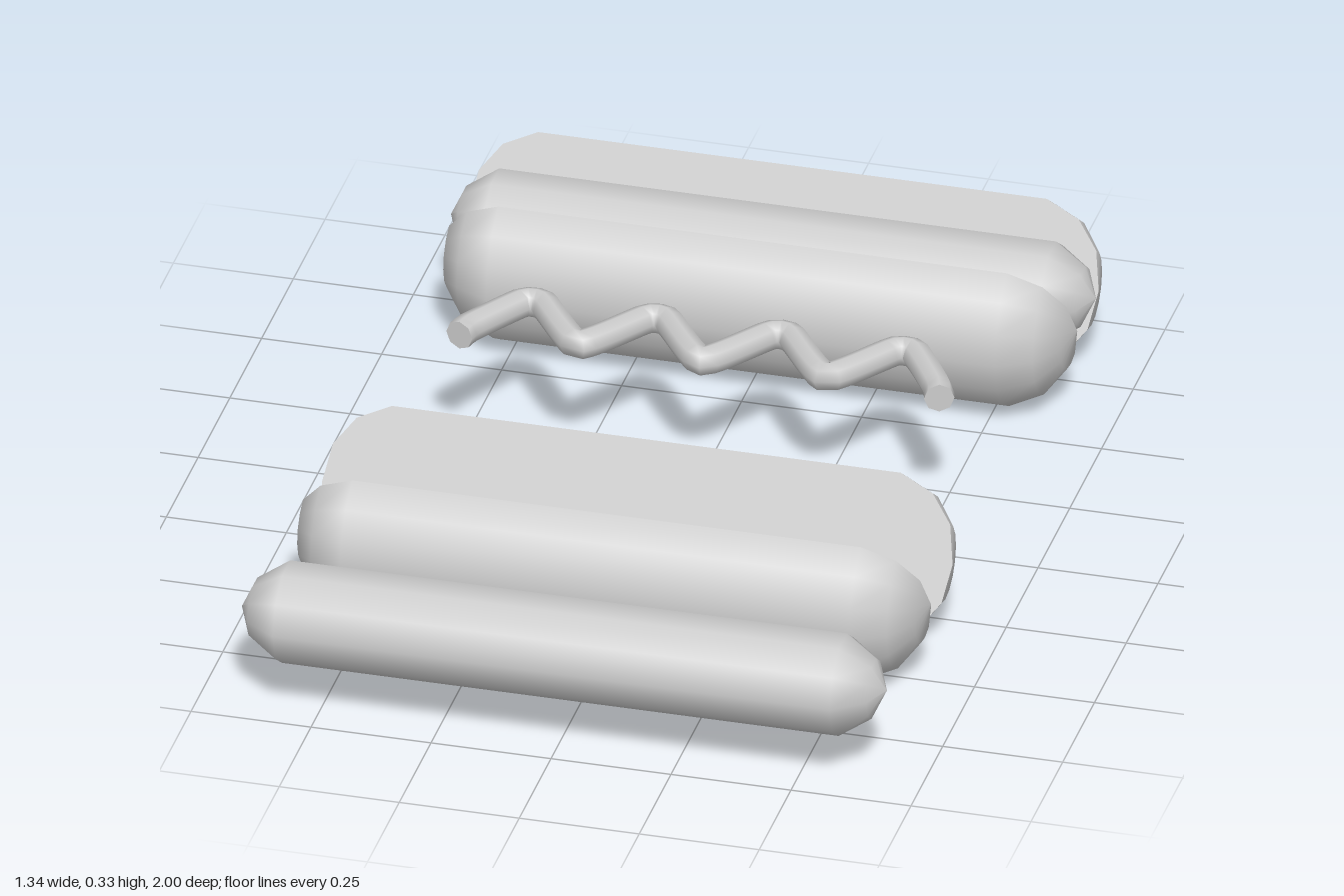
import * as THREE from 'three';

const grey = new THREE.MeshStandardMaterial({ color: 0xcccccc });
const greyDouble = new THREE.MeshStandardMaterial({ color: 0xcccccc, side: THREE.DoubleSide });

function addMesh(parent, name, geometry, material = grey) {
  const mesh = new THREE.Mesh(geometry, material);
  mesh.name = name;
  parent.add(mesh);
  return mesh;
}

// Symmetric long profile [radius, distance along axis] from one tip to the other
function longProfile(half) {
  const far = half.map(([r, l]) => new THREE.Vector2(r, l));
  const near = half.map(([r, l]) => new THREE.Vector2(r, -l)).reverse();
  return [...near, ...far];
}

// Sausage: ten-sided capsule along x
function sausage(z) {
  const profile = longProfile([[0.106, 0.58], [0.062, 0.645], [0, 0.672]]);
  const geometry = new THREE.LatheGeometry(profile, 10);
  geometry.rotateZ(-Math.PI / 2);
  const group = new THREE.Group();
  group.name = 'sausage';
  addMesh(group, 'sausageBody', geometry);
  group.position.set(0, 0.2, z);
  return group;
}

// Half a bun: a half capsule with a flat cut face, leaning outwards
function bunHalf(name) {
  const profile = longProfile([[0.171, 0.53], [0.138, 0.6], [0.08, 0.643], [0, 0.657]]);
  const crust = new THREE.LatheGeometry(profile, 8, 0, Math.PI);
  crust.rotateZ(-Math.PI / 2);

  const outline = [
    ...profile.map((p) => new THREE.Vector2(p.y, -p.x)),
    ...profile.slice(1, -1).reverse().map((p) => new THREE.Vector2(p.y, p.x)),
  ];
  const cut = new THREE.ShapeGeometry(new THREE.Shape(outline));
  cut.rotateX(-Math.PI / 2);

  const lean = new THREE.Group();
  addMesh(lean, 'crust', crust);
  addMesh(lean, 'cutFace', cut);
  lean.rotation.x = -1.133;
  lean.position.set(0, 0.173, 0.084);

  const half = new THREE.Group();
  half.name = name;
  half.add(lean);
  return half;
}

// Bun: two halves meeting at the bottom
function bun(z) {
  const group = new THREE.Group();
  group.name = 'bun';
  const back = bunHalf('backBunHalf');
  back.rotation.y = Math.PI;
  group.add(bunHalf('frontBunHalf'), back);
  group.position.z = z;
  return group;
}

// Sauce: zigzag tube with closed ends
function sauce() {
  const group = new THREE.Group();
  group.name = 'sauce';
  const y = 0.296;
  const points = [new THREE.Vector3(-0.487, y, -0.118), new THREE.Vector3(-0.475, y, -0.155)];
  for (let i = 0; i < 4; i++) {
    const peak = -0.375 + i * 0.258;
    points.push(new THREE.Vector3(peak - 0.023, y, -0.278));
    points.push(new THREE.Vector3(peak + 0.023, y, -0.278));
    if (i < 3) points.push(new THREE.Vector3(peak + 0.129, y, -0.142));
  }
  points.push(new THREE.Vector3(0.5, y, -0.155), new THREE.Vector3(0.513, y, -0.118));
  const path = new THREE.CatmullRomCurve3(points, false, 'catmullrom', 0.25);
  const radius = 0.031;
  addMesh(group, 'sauceStrip', new THREE.TubeGeometry(path, 90, radius, 8), greyDouble);
  for (const t of [0, 1]) {
    const cap = addMesh(group, 'sauceEnd', new THREE.CircleGeometry(radius, 8), greyDouble);
    const end = path.getPointAt(t);
    cap.position.copy(end);
    cap.lookAt(end.clone().addScaledVector(path.getTangentAt(t), t ? 1 : -1));
  }
  return group;
}

export function createModel() {
  const model = new THREE.Group();
  model.name = 'hotDogSet';

  // Separate ingredients
  model.add(sausage(0.894), bun(0.405), sauce());

  // Assembled hot dog
  const assembled = new THREE.Group();
  assembled.name = 'assembledHotDog';
  assembled.add(bun(-0.745), sausage(-0.752));
  model.add(assembled);

  return model;
}
